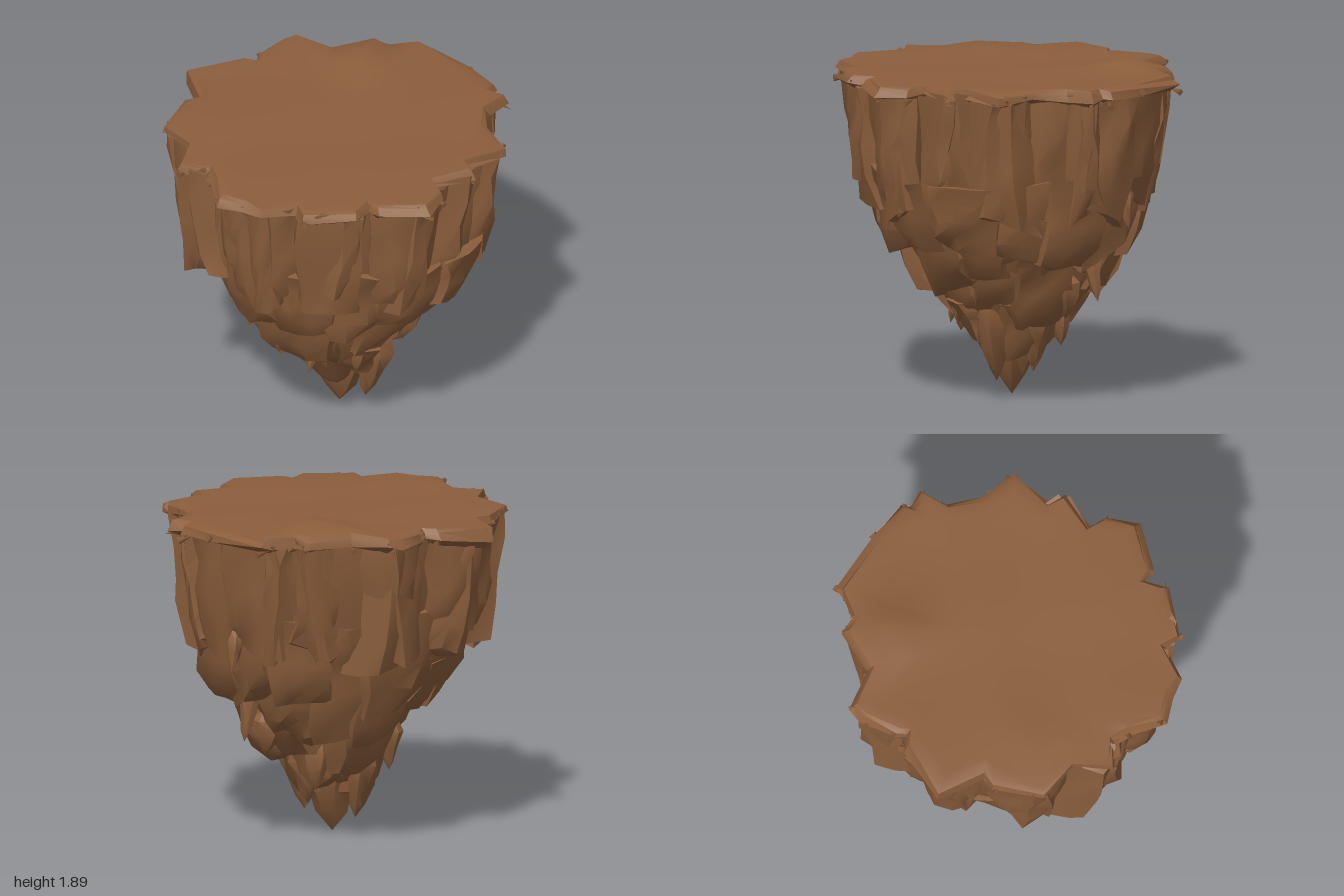
import * as THREE from 'three';
import { mergeVertices, toCreasedNormals } from 'three/addons/utils/BufferGeometryUtils.js';

const rock = new THREE.MeshStandardMaterial({ color: 0x8b5e3c });
rock.name = 'brown rock';

// Plateau outline as x, z pairs, clockwise from above
const OUTLINE = [
  [-0.17, -0.99], [0.13, -0.87], [0.17, -0.79], [0.22, -0.82], [0.44, -0.85], [0.52, -0.83], [0.56, -0.58],
  [0.8, -0.47], [0.8, -0.36], [0.9, -0.29], [0.97, -0.27], [0.96, 0.1], [0.93, 0.34], [0.88, 0.36],
  [0.89, 0.47], [0.73, 0.48], [0.58, 0.62], [0.5, 0.83], [0.25, 0.8], [0.2, 0.89], [-0.02, 0.8],
  [-0.07, 0.9], [-0.24, 0.97], [-0.45, 0.78], [-0.45, 0.7], [-0.58, 0.73], [-0.79, 0.52], [-0.75, 0.43],
  [-0.93, 0.32], [-0.95, 0.2], [-1, 0.06], [-0.88, -0.1], [-0.83, -0.2], [-0.9, -0.33], [-0.7, -0.44],
  [-0.67, -0.68], [-0.4, -0.79], [-0.32, -0.76],
];

// Repeatable noise: a seeded sequence and a hash of a position
let seed = 7;
function rand(a = 0, b = 1) {
  seed = (seed * 16807) % 2147483647;
  return a + (b - a) * (seed / 2147483647);
}
function hash(x, y, z, s) {
  const v = Math.sin(x * 127.1 + y * 311.7 + z * 74.7 + s * 19.19) * 43758.5453;
  return (v - Math.floor(v)) * 2 - 1;
}
const bump = (x, z, cx, cz, r) => Math.exp(-((x - cx) ** 2 + (z - cz) ** 2) / (r * r));

// Skin over closed loops of points, ordered from top to bottom
function loft(loops, crease = 0.7) {
  const n = loops[0].length, index = [];
  for (let j = 0; j < loops.length - 1; j++) {
    for (let i = 0; i < n; i++) {
      const a = j * n + i, b = j * n + (i + 1) % n;
      index.push(a, b, a + n, b, b + n, a + n);
    }
  }
  const geo = new THREE.BufferGeometry();
  geo.setAttribute('position', new THREE.Float32BufferAttribute(loops.flat(2), 3));
  geo.setIndex(index);
  return toCreasedNormals(geo, crease);
}

// Slab of ground: slightly uneven top, thin ragged rim, thicker prow at the back
function plateau() {
  const rings = [[0, 1.83], [0.15, 1.83], [0.3, 1.83], [0.45, 1.83], [0.6, 1.83], [0.75, 1.83], [0.87, 1.83],
    [0.95, 1.828], [0.98, 1.815], [1, 1.775], [0.94, 1.75], [0.7, 1.72]];
  return loft(rings.map(([s, level], j) => OUTLINE.map(([ox, oz], i) => {
    const k = j === 8 ? s + 0.02 * hash(i, j, 0, 5) : s;
    const x = ox * k, z = oz * k;
    if (j < 8) {
      const y = level + 0.06 * bump(x, z, 0.55, -0.33, 0.16) + 0.02 * bump(x, z, -0.46, -0.45, 0.13);
      return [x, y + 0.005 * Math.sin(x * 6) * Math.cos(z * 7), z];
    }
    return [x, level - (j > 8 ? 0.06 * bump(x, z, -0.15, -1, 0.25) : 0) + 0.015 * hash(i, j, 0, 2), z];
  })), 0.6);
}

// Inner mass that closes the gaps between the boulders
function core() {
  const rings = [[0.8, 1.78], [0.74, 1.25], [0.62, 1], [0.47, 0.75], [0.28, 0.5], [0.14, 0.25], [0, 0.1]];
  return loft(rings.map(([r, y]) => Array.from({ length: 20 }, (_, i) => {
    const a = i / 20 * Math.PI * 2, k = r * (1 + 0.05 * hash(i, y, r, 3));
    return [Math.cos(a) * k, y, Math.sin(a) * k];
  })));
}

// Weathered block; its outer face starts at z = 0 and slopes inwards by `slope`
function boulder(w, h, d, slope, taper, s) {
  let geo = new THREE.BoxGeometry(w, h, d, 3, 4, 2);
  geo.deleteAttribute('normal');
  geo.deleteAttribute('uv');
  geo = mergeVertices(geo, 1e-4);
  const p = geo.attributes.position;
  for (let i = 0; i < p.count; i++) {
    const x = p.getX(i), y = p.getY(i), z = p.getZ(i);
    const t = 0.5 - y / h, u = Math.abs(x) / (w / 2), front = z / d + 0.5;
    const key = [Math.round(x * 100), Math.round(y * 100), Math.round(z * 100)];
    const narrow = 1 - taper * t * t;
    const round = d * front * (0.12 * u ** 4 + 0.15 * Math.max(0, t - 0.7) / 0.3);
    p.setXYZ(i,
      x * narrow + hash(...key, s) * w * 0.07,
      -h * t + hash(...key, s + 1) * h * 0.05 + (t > 0.9 ? h * 0.1 * u * Math.sign(x) * Math.sin(s) : 0),
      z - d / 2 - slope * t - round + hash(...key, s + 2) * 0.022);
  }
  return toCreasedNormals(geo, 0.8);
}

// Hanging spike from a base point to a tip
function spike([x0, z0, y0, x1, z1, y1, r], s) {
  const levels = [[0, 0], [0, 0.75], [0.25, 1], [0.55, 0.72], [0.82, 0.4], [1, 0]];
  return loft(levels.map(([t, k]) => Array.from({ length: 7 }, (_, i) => {
    const a = i / 7 * Math.PI * 2 + s, q = k * r * (1 + 0.2 * hash(i, t, k, s));
    return [x0 + (x1 - x0) * t + Math.cos(a) * q, y0 + (y1 - y0) * t, z0 + (z1 - z0) * t + Math.sin(a) * q];
  })));
}

export function createModel() {
  const model = new THREE.Group();
  model.name = 'floatingRock';
  const add = (parent, name, geo) => {
    const mesh = new THREE.Mesh(geo, rock);
    mesh.name = name;
    parent.add(mesh);
    return mesh;
  };
  const group = (name) => {
    const g = new THREE.Group();
    g.name = name;
    model.add(g);
    return g;
  };
  add(model, 'plateau', plateau());
  add(model, 'core', core());

  // Cliff columns: one behind every long outward-facing edge of the outline
  const cliff = group('cliffColumns');
  OUTLINE.forEach((start, i) => {
    const [a, b] = [start, OUTLINE[(i + 1) % OUTLINE.length]].map(([x, z]) =>
      new THREE.Vector2(x, z).multiplyScalar(0.98).clampLength(0, 0.94));
    const edge = b.clone().sub(a), mid = a.clone().add(b).multiplyScalar(0.5);
    const normal = new THREE.Vector2(edge.y, -edge.x).normalize();
    if (edge.length() < 0.09 || normal.dot(mid) < 0.6 * mid.length()) return;
    const h = rand(0.58, 0.74);
    const mesh = add(cliff, 'cliffColumn', boulder(edge.length() * 1.05 + 0.05, h, 0.28, 0.07, 0.05, i));
    mesh.position.set(mid.x, 1.79, mid.y);
    mesh.rotation.y = Math.atan2(normal.x, normal.y);
  });

  // Lower tiers of boulders on ellipses (centre cx, cz, stretch sx, sz), each smaller than the one above
  const tiers = [
    { name: 'middleBoulder', n: 14, top: 1.32, bottom: 0.87, r: 0.8, r2: 0.7, w: 0.39, d: 0.3, taper: 0.2, cx: 0.03, cz: 0.03, sx: 1, sz: 1 },
    { name: 'lowerBoulder', n: 12, top: 1.05, bottom: 0.67, r: 0.69, r2: 0.56, w: 0.39, d: 0.3, taper: 0.25, cx: 0.04, cz: 0.01, sx: 1, sz: 0.98 },
    { name: 'underBoulder', n: 9, top: 0.82, bottom: 0.48, r: 0.55, r2: 0.39, w: 0.37, d: 0.3, taper: 0.3, cx: 0.07, cz: 0, sx: 1, sz: 0.95 },
    { name: 'rootBoulder', n: 7, top: 0.6, bottom: 0.32, r: 0.35, r2: 0.24, w: 0.28, d: 0.22, taper: 0.45, cx: 0.03, cz: 0, sx: 0.9, sz: 1.05 },
  ];
  tiers.forEach((tier, k) => {
    const g = group(tier.name + 's');
    for (let i = 0; i < tier.n; i++) {
      const a = (i + rand(-0.15, 0.15) + k * 0.5) / tier.n * Math.PI * 2;
      const r = tier.r + rand(-0.03, 0.03);
      const top = tier.top + rand(-0.05, 0.05);
      const h = top - tier.bottom + rand(-0.09, 0.09);
      const geo = boulder(tier.w * rand(0.9, 1.12), h, tier.d, tier.r - tier.r2, tier.taper, k * 40 + i + 40);
      const mesh = add(g, tier.name, geo);
      mesh.position.set(tier.cx + Math.cos(a) * r * tier.sx, top, tier.cz + Math.sin(a) * r * tier.sz);
      mesh.rotation.y = Math.PI / 2 - a + rand(-0.15, 0.15);
    }
  });

  // Hanging spikes: base x, z, y, then tip x, z, y, then radius
  const spikes = group('hangingSpikes');
  [
    [0.03, 0, 0.62, 0.03, 0, 0, 0.21], [0.06, 0.26, 0.52, 0.05, 0.18, 0.1, 0.1],
    [0.06, -0.26, 0.52, 0.05, -0.18, 0.1, 0.1], [0.24, 0.05, 0.5, 0.19, 0.04, 0.17, 0.09],
    [-0.25, 0.1, 0.66, -0.31, 0.1, 0.38, 0.05], [0.28, -0.1, 0.55, 0.29, -0.1, 0.28, 0.07],
    [0.4, 0.12, 0.75, 0.47, 0.12, 0.48, 0.13], [0.6, 0.1, 0.95, 0.67, 0.1, 0.59, 0.07],
    [-0.46, 0.05, 0.85, -0.5, 0.05, 0.59, 0.06], [0.8, 0.05, 1.25, 0.84, 0.05, 1.01, 0.05],
    [-0.1, 0.28, 0.6, -0.12, 0.28, 0.38, 0.07], [-0.1, -0.3, 0.65, -0.1, -0.3, 0.36, 0.07],
  ].forEach((data, i) => add(spikes, 'spike', spike(data, i + 1)));

  // Small splinters around the rim
  const splinters = group('rimSplinters');
  for (const [x, z] of OUTLINE) {
    const mesh = add(splinters, 'splinter', new THREE.ConeGeometry(rand(0.012, 0.025), rand(0.06, 0.1), 4));
    mesh.position.set(x * 0.97, rand(1.74, 1.81), z * 0.97);
    mesh.rotation.set(rand(1.2, 1.9), rand(0, 6.28), 0, 'YXZ');
  }
  return model;
}
